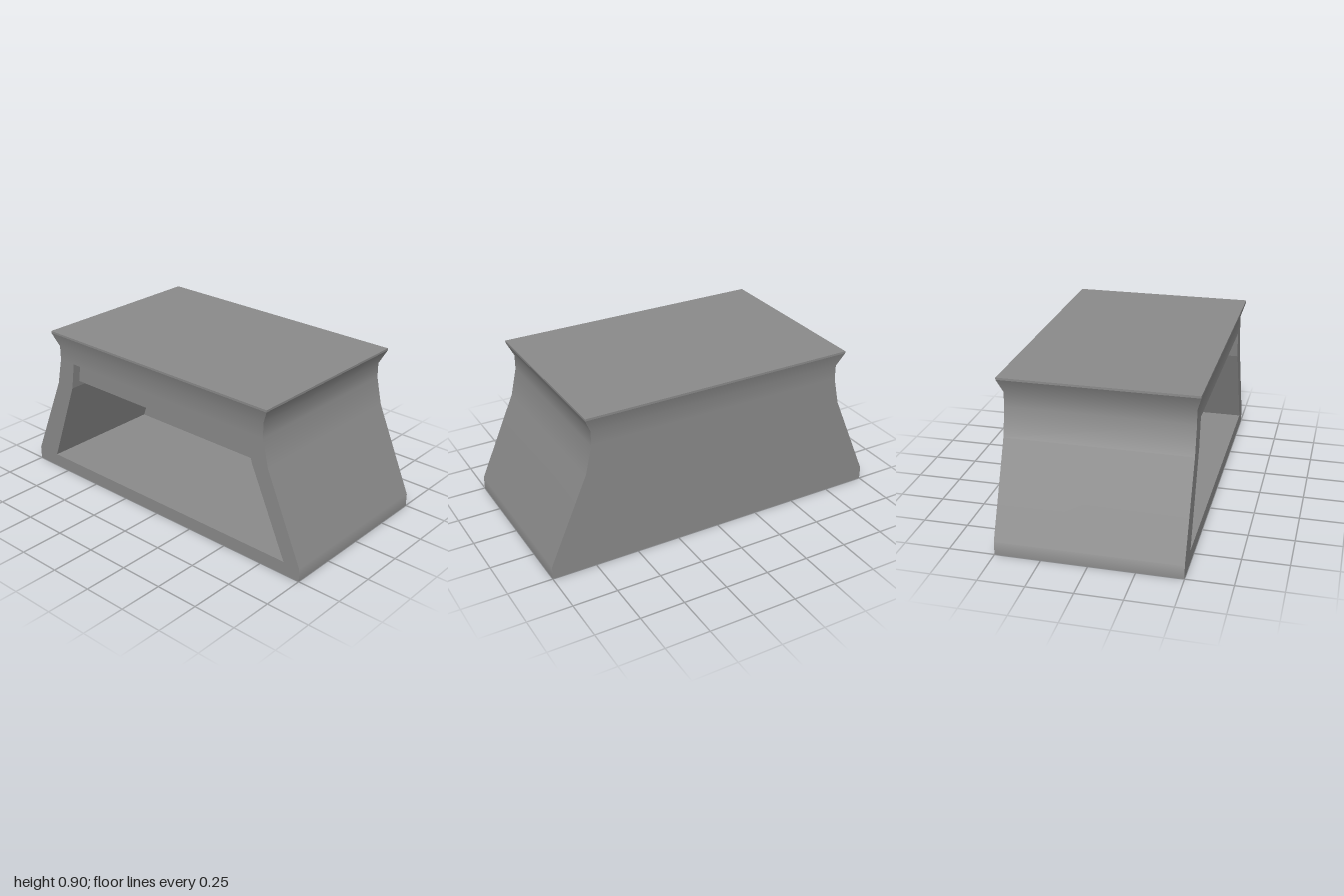
import * as THREE from 'three';

// Rectangular sections from the ground up: [y, half width, half depth]
const SECTIONS = [
  [0, 1, 0.5], [0.075, 1, 0.5], [0.57, 0.785, 0.5], [0.727, 0.75, 0.5],
  [0.81, 0.75, 0.5], [0.888, 0.788, 0.525], [0.9, 0.788, 0.525],
];
const RIM = SECTIONS.length - 2; // sections are smooth up to the sharp top rim
// Edges of the front opening: [y, left x, right x]
const OPENING = [[0.075, -0.85, 0.9], [0.57, -0.665, 0.68], [0.602, -0.66, 0.674], [0.727, -0.64, 0.65]];
const FRONT = 0.5, LINTEL = 0.45, BACK = -0.245;

const material = new THREE.MeshStandardMaterial({ color: 0x8a8a8a });

// Mesh from quads whose corners run counter-clockwise seen from outside
function quadMesh(name, quads) {
  const positions = [];
  for (const [a, b, c, d] of quads) positions.push(...a, ...b, ...c, ...a, ...c, ...d);
  const geometry = new THREE.BufferGeometry();
  geometry.setAttribute('position', new THREE.Float32BufferAttribute(positions, 3));
  geometry.computeVertexNormals();
  const mesh = new THREE.Mesh(geometry, material);
  mesh.name = name;
  return mesh;
}

const ring = ([y, w, d]) => [[-w, y, d], [w, y, d], [w, y, -d], [-w, y, -d]];

// Smooth the shell's sides up and down, keeping the upright corners sharp
function smoothSides(geometry) {
  const { position, normal } = geometry.attributes;
  const n = new THREE.Vector3();
  for (let v = 0; v < position.count; v++) {
    n.fromBufferAttribute(normal, v);
    const rim = Math.floor(v / 3) * 3; // first corner of this triangle
    const inRim = [0, 1, 2].every((k) => position.getY(rim + k) > SECTIONS[RIM][0] - 0.001);
    if (Math.abs(n.y) > 0.9 || inRim) continue;
    const row = SECTIONS.findIndex(([y]) => Math.abs(y - position.getY(v)) < 0.001);
    const below = SECTIONS[Math.max(row - 1, 0)], above = SECTIONS[Math.min(row + 1, RIM)];
    const axis = Math.abs(n.x) > Math.abs(n.z) ? 1 : 2; // width or depth profile
    const slope = (above[axis] - below[axis]) / (above[0] - below[0]);
    n.set(axis === 1 ? Math.sign(n.x) : 0, -slope, axis === 2 ? Math.sign(n.z) : 0).normalize();
    normal.setXYZ(v, n.x, n.y, n.z);
  }
}

// Flared shell with a frame around the front opening
function shell() {
  const quads = [];
  for (let i = 0; i < SECTIONS.length - 1; i++) {
    const low = ring(SECTIONS[i]), high = ring(SECTIONS[i + 1]);
    for (let k = 0; k < 4; k++) {
      if (k === 0 && (i === 1 || i === 2)) continue; // opening
      const n = (k + 1) % 4;
      quads.push([low[k], low[n], high[n], high[k]]);
    }
  }
  // jambs on both sides of the opening
  [[1, 0, 1], [2, 1, 3]].forEach(([s, o, p]) => {
    const [y0, w0] = SECTIONS[s], [y1, w1] = SECTIONS[s + 1];
    const [, l0, r0] = OPENING[o], [, l1, r1] = OPENING[p];
    quads.push([[-w0, y0, FRONT], [l0, y0, FRONT], [l1, y1, FRONT], [-w1, y1, FRONT]]);
    quads.push([[r0, y0, FRONT], [w0, y0, FRONT], [w1, y1, FRONT], [r1, y1, FRONT]]);
  });
  // flat top and underside
  quads.push(ring(SECTIONS[RIM + 1]), ring(SECTIONS[0]).reverse());
  const mesh = quadMesh('shell', quads);
  smoothSides(mesh.geometry);
  return mesh;
}

// Inward-facing side walls between two opening levels, running back to zBack
function sideWalls(i, zBack) {
  const [y0, l0, r0] = OPENING[i], [y1, l1, r1] = OPENING[i + 1];
  return [
    [[l0, y0, FRONT], [l0, y0, zBack], [l1, y1, zBack], [l1, y1, FRONT]],
    [[r0, y0, zBack], [r0, y0, FRONT], [r1, y1, FRONT], [r1, y1, zBack]],
  ];
}

// Forward-facing panel between two opening levels
function panel(i, z) {
  const [y0, l0, r0] = OPENING[i], [y1, l1, r1] = OPENING[i + 1];
  return [[l0, y0, z], [r0, y0, z], [r1, y1, z], [l1, y1, z]];
}

// Horizontal surface at an opening level
function level(i, zFront, zBack, facesUp) {
  const [y, l, r] = OPENING[i];
  const quad = [[l, y, zFront], [r, y, zFront], [r, y, zBack], [l, y, zBack]];
  return facesUp ? quad : quad.reverse();
}

export function createModel() {
  const group = new THREE.Group();
  group.name = 'hearth';
  group.add(shell());
  group.add(quadMesh('cavity', [
    ...sideWalls(0, BACK), ...sideWalls(1, BACK),
    panel(0, BACK), panel(1, BACK),
    level(0, FRONT, BACK, true),
  ]));
  // Slightly recessed lintel across the top of the opening
  group.add(quadMesh('lintel', [
    ...sideWalls(2, LINTEL),
    panel(2, LINTEL),
    level(3, FRONT, LINTEL, false),
    level(2, LINTEL, BACK, false),
  ]));
  return group;
}
